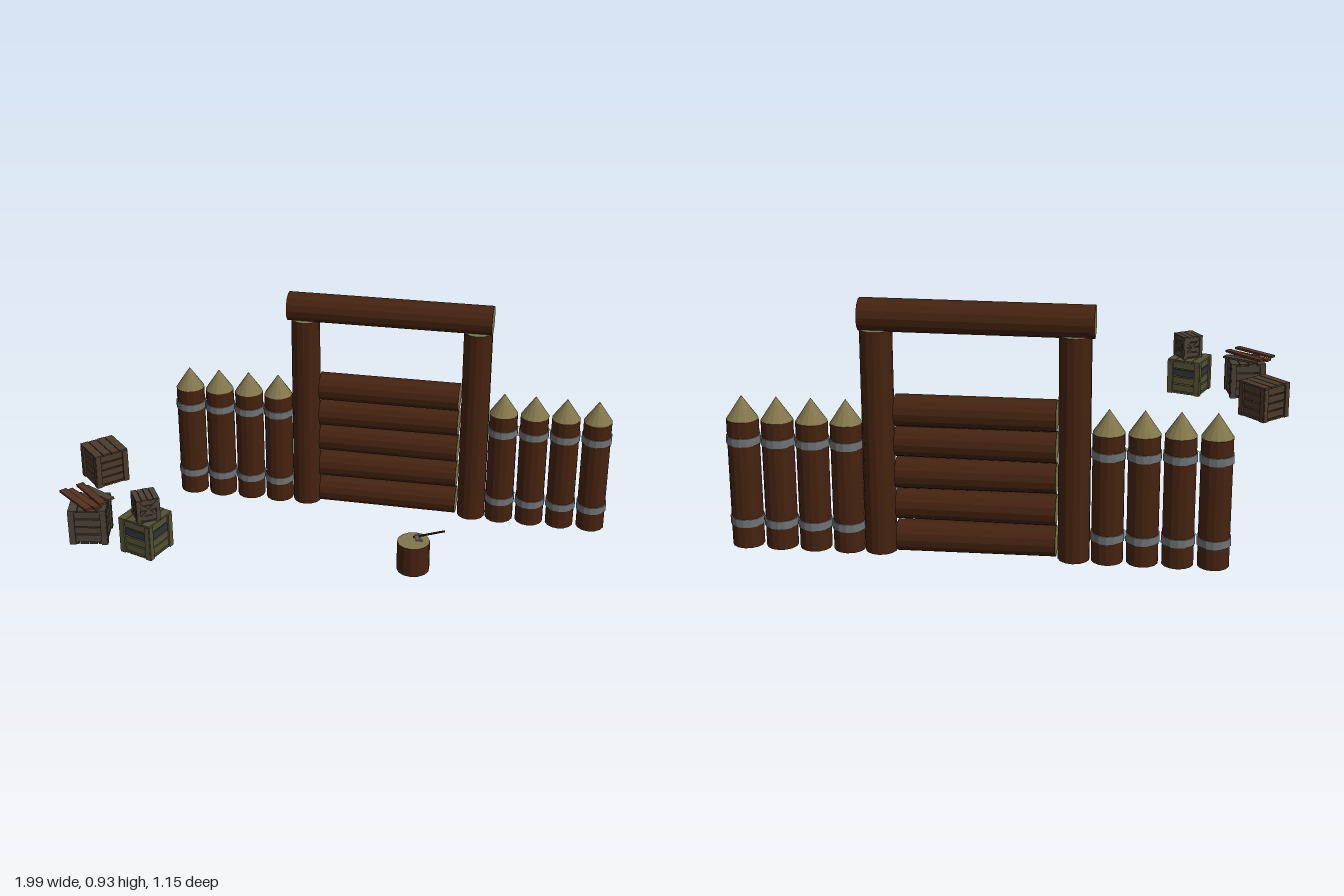
import * as THREE from 'three';

const mat = (color) => new THREE.MeshStandardMaterial({ color, flatShading: true });
const bark = mat(0x44220f), cutWood = mat(0x82754c), iron = mat(0x707274);
const brown = mat(0x4a3a2b), olive = mat(0x545034), slate = mat(0x30343a), red = mat(0x55301f), grey = mat(0x4a4034);
const WALL_Z = -0.52, R = 0.057;

function add(parent, name, geometry, material, x = 0, y = 0, z = 0) {
  const mesh = new THREE.Mesh(geometry, material);
  mesh.name = name;
  mesh.position.set(x, y, z);
  parent.add(mesh);
  return mesh;
}

const box = (parent, name, material, w, h, d, x, y, z) =>
  add(parent, name, new THREE.BoxGeometry(w, h, d), material, x, y, z);

// Bark cylinder with pale sawn ends
function log(parent, name, length, radius, x, y, z) {
  return add(parent, name, new THREE.CylinderGeometry(radius, radius, length, 14), [bark, cutWood, cutWood], x, y, z);
}

// Sharpened palisade post with two iron bands
function stake(x) {
  const g = new THREE.Group();
  g.name = 'stake';
  g.position.set(x, 0, WALL_Z);
  log(g, 'stakeLog', 0.475, R, 0, 0.2375, 0);
  add(g, 'stakeTip', new THREE.ConeGeometry(R, 0.085, 14), cutWood, 0, 0.5175, 0);
  for (const y of [0.095, 0.4]) {
    add(g, 'ironBand', new THREE.CylinderGeometry(0.061, 0.061, 0.03, 14), iron, 0, y, 0);
  }
  return g;
}

// Slatted crate: corner boards, side slats, lid and floor; y is its underside
function crate(name, material, size, height, x, y, z, turn, { accent = material, braced = false } = {}) {
  const g = new THREE.Group();
  g.name = name;
  g.position.set(x, y, z);
  g.rotation.y = turn;
  const t = size * 0.05, half = size / 2, rows = 4;
  const pitch = (height - 2 * t) / rows, width = size / rows;
  for (let s = 0; s < 4; s++) {
    const side = new THREE.Group();
    side.name = 'crateSide';
    side.rotation.y = s * Math.PI / 2;
    g.add(side);
    for (let i = 0; i < rows; i++) {
      box(side, 'sideSlat', i === 2 ? accent : material, size * 0.94, pitch * 0.84, t,
        (i % 2 - 0.5) * size * 0.02, t + pitch * (i + 0.5), half - 1.5 * t);
    }
    for (const e of [-1, 1]) {
      box(side, 'cornerBoard', material, size * 0.15, height - t, t, e * (half - size * 0.09), (height - t) / 2, half - t / 2);
    }
    if (braced) {
      for (const e of [-1, 1]) {
        box(side, 'crossBrace', material, size * 1.15, size * 0.1, t * 0.7, 0, height / 2, half - t * 0.6).rotation.z = e * 0.75;
      }
    }
  }
  for (let i = 0; i < rows; i++) {
    const px = (i + 0.5) * width - half;
    box(g, 'lidSlat', material, width * 0.92, t, size * (i % 2 ? 0.97 : 1), px, height - t / 2, 0);
    box(g, 'floorSlat', material, width * 0.86, t, size * 0.94, px * 0.96, t / 2, 0);
  }
  return g;
}

// Chopping block with a hatchet stuck in its top
function choppingBlock() {
  const g = new THREE.Group();
  g.name = 'choppingBlock';
  g.position.set(0.29, 0.055, 0.033);
  add(g, 'stump', new THREE.CylinderGeometry(0.063, 0.063, 0.123, 14), [bark, cutWood, bark], 0, 0.0615, 0);
  const axe = new THREE.Group();
  axe.name = 'axe';
  axe.position.set(0.015, 0.136, -0.005);
  axe.rotation.z = 0.32;
  g.add(axe);
  add(axe, 'axeHandle', new THREE.CylinderGeometry(0.004, 0.0045, 0.125, 8), bark, 0.047, 0.006, 0).rotation.z = -Math.PI / 2;
  const blade = new THREE.Shape([[-0.008, 0.014], [0.008, 0.014], [0.008, -0.004], [0.015, -0.022], [-0.015, -0.022], [-0.008, -0.004]]
    .map(([x, y]) => new THREE.Vector2(x, y)));
  const head = new THREE.ExtrudeGeometry(blade, { depth: 0.012, bevelEnabled: false });
  head.translate(0, 0, -0.006);
  // Narrow the head towards its cutting edge
  const p = head.attributes.position;
  for (let i = 0; i < p.count; i++) if (p.getY(i) < -0.01) p.setZ(i, p.getZ(i) * 0.15);
  add(axe, 'axeHead', head, iron);
  return g;
}

export function createModel() {
  const model = new THREE.Group();
  model.name = 'palisadeGate';

  // Palisade on both sides of the gate
  for (const x of [-0.73, -0.606, -0.482, -0.359, 0.563, 0.687, 0.811, 0.936]) model.add(stake(x));

  // Gate frame
  const gate = new THREE.Group();
  gate.name = 'gate';
  model.add(gate);
  for (const x of [-0.241, 0.448]) log(gate, 'gatePost', 0.82, R, x, 0.41, WALL_Z);
  log(gate, 'gateBeam', 0.812, 0.058, 0.098, 0.868, WALL_Z).rotation.z = Math.PI / 2 + 0.003;

  // Stacked door logs, each slightly out of level
  [0.061, 0.181, 0.299, 0.415, 0.528].forEach((y, i) => {
    log(gate, 'doorLog', 0.565, R, 0.1025, y, WALL_Z).rotation.z = Math.PI / 2 + [-0.006, 0.004, -0.004, 0.006, 0][i];
  });

  model.add(choppingBlock());

  // Crates
  model.add(
    crate('singleCrate', brown, 0.135, 0.135, -0.903, 0.355, 0.08, 0.77),
    crate('plankCrate', grey, 0.139, 0.14, -0.838, 0.322, 0.448, 0.18),
    crate('lowerCrate', olive, 0.137, 0.14, -0.617, 0.315, 0.483, -0.35, { accent: slate }),
    crate('upperCrate', grey, 0.085, 0.09, -0.608, 0.455, 0.497, 0.55, { braced: true }),
  );

  // Loose planks thrown over one crate
  const planks = new THREE.Group();
  planks.name = 'loosePlanks';
  planks.position.set(-0.845, 0.467, 0.45);
  model.add(planks);
  [[-0.03, 0.03, -0.69, red], [-0.01, 0.004, -0.62, red], [0.012, -0.02, -0.75, red], [0.028, -0.045, -0.5, grey]]
    .forEach(([x, z, turn, material], i) => {
      box(planks, 'plank', material, i === 3 ? 0.14 : 0.18, 0.008, 0.028, x, i % 2 ? 0.008 : 0.017, z).rotation.y = turn;
    });

  return model;
}
